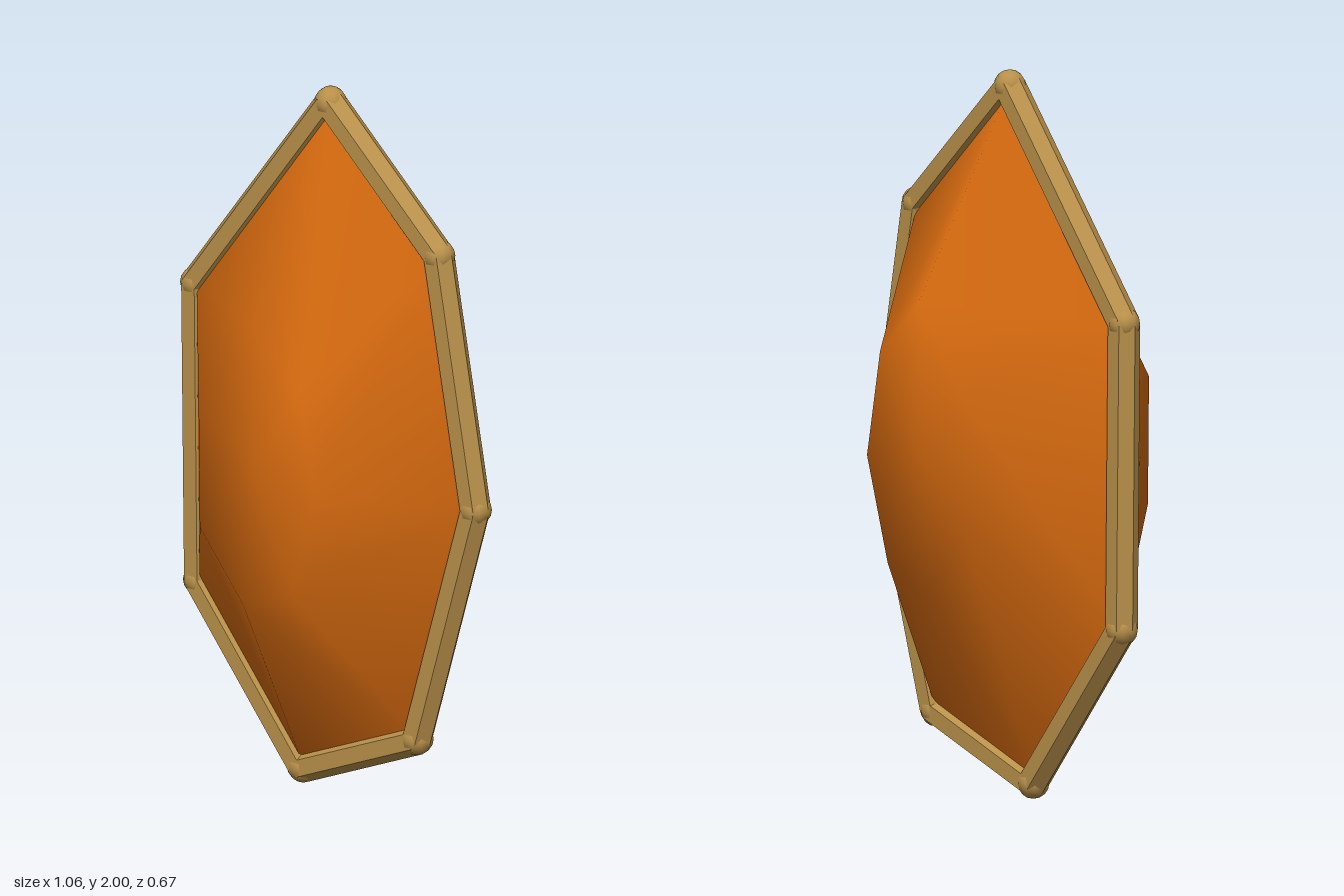
import * as THREE from 'three';

const gemMaterial = new THREE.MeshStandardMaterial({ color: 0xd4690f });
gemMaterial.name = 'amber orange';
const frameMaterial = new THREE.MeshStandardMaterial({ color: 0xb8904a });
frameMaterial.name = 'dull gold';

// Outline of the gem, clockwise from the top; the frame follows it
const outline = [
  [-0.02, 1.955], [0.355, 1.59], [0.482, 0.89], [0.28, 0.2],
  [-0.115, 0.047], [-0.475, 0.51], [-0.485, 1.355],
];
const centre = [-0.02, 0.99];
const depth = 0.335;   // half thickness of the gem
const tableScale = 0.416; // size of the flat table against the outline
const frameRadius = 0.045;

// One smooth half of the gem: rim, raised table ring and a table centre
function gemHalf(side) {
  const n = outline.length;
  const positions = [];
  const index = [];
  for (const [scale, z] of [[1, 0], [tableScale, depth]]) {
    for (const [x, y] of outline) {
      positions.push(
        centre[0] + (x - centre[0]) * scale,
        centre[1] + (y - centre[1]) * scale,
        z * side
      );
    }
  }
  positions.push(centre[0], centre[1], depth * side);
  const tri = (a, b, c) => (side > 0 ? index.push(a, c, b) : index.push(a, b, c));
  for (let i = 0; i < n; i++) {
    const j = (i + 1) % n;
    tri(i, j, n + j);
    tri(i, n + j, n + i);
    tri(n + i, n + j, 2 * n);
  }
  const geometry = new THREE.BufferGeometry();
  geometry.setAttribute('position', new THREE.Float32BufferAttribute(positions, 3));
  geometry.setIndex(index);
  geometry.computeVertexNormals();
  return geometry;
}

export function createModel() {
  const model = new THREE.Group();
  model.name = 'framedGem';

  // Gem, front and back halves
  for (const [name, side] of [['gemFront', 1], ['gemBack', -1]]) {
    const half = new THREE.Mesh(gemHalf(side), gemMaterial);
    half.name = name;
    model.add(half);
  }

  // Six-sided frame bars with a round joint at every corner
  const frame = new THREE.Group();
  frame.name = 'frame';
  const jointGeometry = new THREE.SphereGeometry(frameRadius, 10, 8);
  outline.forEach(([x, y], i) => {
    const [nx, ny] = outline[(i + 1) % outline.length];
    const length = Math.hypot(nx - x, ny - y);
    const barGeometry = new THREE.CylinderGeometry(
      frameRadius, frameRadius, length, 6, 1, false, Math.PI / 6
    ).toNonIndexed();
    barGeometry.computeVertexNormals(); // faceted sides
    const bar = new THREE.Mesh(barGeometry, frameMaterial);
    bar.name = 'frameBar';
    bar.position.set((x + nx) / 2, (y + ny) / 2, 0);
    bar.rotation.z = Math.atan2(ny - y, nx - x) - Math.PI / 2;

    const joint = new THREE.Mesh(jointGeometry, frameMaterial);
    joint.name = 'frameJoint';
    joint.position.set(x, y, 0);
    frame.add(bar, joint);
  });
  model.add(frame);
  return model;
}
